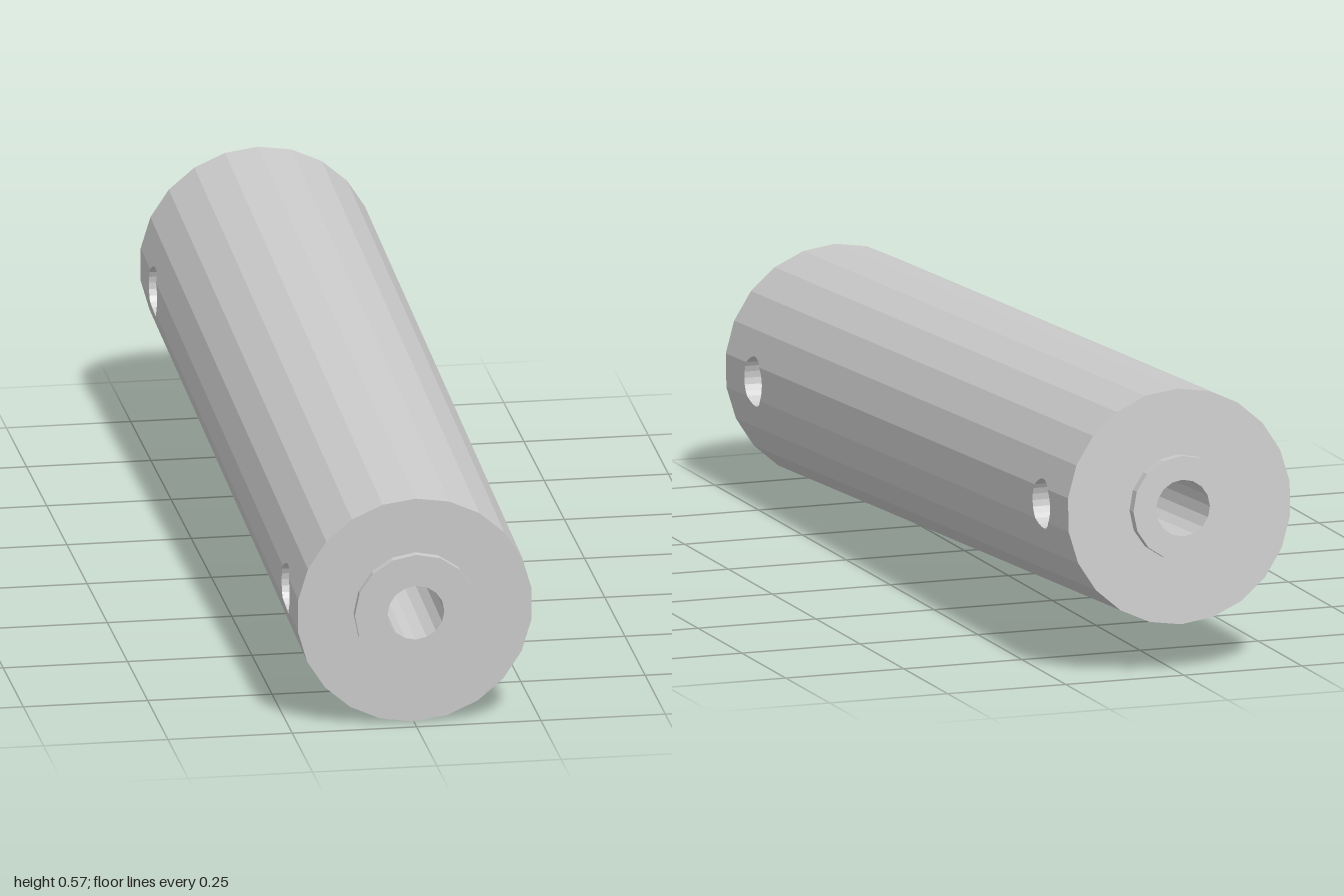
import * as THREE from 'three';

const SIDES = 22, R = 0.237, HALF = 0.9765;   // body
const BORE = 0.057;                           // central bore
const HOLE_R = 0.05, HOLE_Z = 0.8225, HOLE_FLOOR = 0.115;
const HOLE_DIRS = [0, Math.PI, Math.PI * 1.5]; // left, right, underside
const TAU = Math.PI * 2, STEP = TAU / SIDES;

const grey = new THREE.MeshStandardMaterial({ color: 0xcccccc, flatShading: true });
const greyDouble = new THREE.MeshStandardMaterial({ color: 0xcccccc, flatShading: true, side: THREE.DoubleSide });

// Distance from the axis to the many-sided wall at angle a (a corner points up)
function wallRadius(a) {
  const s = (((a - Math.PI / 2) % STEP) + STEP) % STEP;
  return R * Math.cos(STEP / 2) / Math.cos(s - STEP / 2);
}

function ring(radius, sides, hole, holeSides) {
  const pts = (r, n) => Array.from({ length: n }, (_, i) => {
    const a = Math.PI / 2 + i * TAU / n;
    return new THREE.Vector2(r * Math.cos(a), r * Math.sin(a));
  });
  const shape = new THREE.Shape(pts(radius, sides));
  shape.holes.push(new THREE.Path(pts(hole, holeSides)));
  return shape;
}

// Outer wall in lengthwise columns, interrupted by blind round holes
function wallGeometry() {
  let angles = Array.from({ length: SIDES }, (_, i) => Math.PI / 2 + i * STEP);
  for (const d of HOLE_DIRS) {
    for (let k = 0; k <= 12; k++) {
      const t = HOLE_R * Math.cos(k * Math.PI / 12);
      let a = d;
      for (let i = 0; i < 12; i++) a = d + Math.asin(t / wallRadius(a));
      angles.push(a);
    }
  }
  angles = angles.map(a => ((a % TAU) + TAU) % TAU).sort((a, b) => a - b)
    .filter((a, i, all) => i === 0 || a - all[i - 1] > 1e-5);
  angles.push(angles[0] + TAU);

  // Wall point, half-height of the hole there, and matching point on the hole floor
  const edge = a => {
    const r = wallRadius(a), e = { x: r * Math.cos(a), y: r * Math.sin(a), h: 0 };
    for (const d of HOLE_DIRS) {
      const t = r * Math.sin(a - d);
      if (Math.cos(a - d) > 0 && Math.abs(t) < HOLE_R + 1e-5) {
        e.h = Math.sqrt(Math.max(0, HOLE_R ** 2 - t * t));
        e.floor = {
          x: HOLE_FLOOR * Math.cos(d) - t * Math.sin(d),
          y: HOLE_FLOOR * Math.sin(d) + t * Math.cos(d),
        };
      }
    }
    return e;
  };

  const pos = [];
  const P = (p, z) => [p.x, p.y, z];
  const quad = (a, b, c, d) => pos.push(...a, ...b, ...c, ...a, ...c, ...d);
  for (let i = 0; i < angles.length - 1; i++) {
    const p = edge(angles[i]), q = edge(angles[i + 1]);
    const strip = (p0, q0, p1, q1) => quad(P(p, p0), P(q, q0), P(q, q1), P(p, p1));
    strip(-HALF, -HALF, -HOLE_Z - p.h, -HOLE_Z - q.h);
    strip(-HOLE_Z + p.h, -HOLE_Z + q.h, HOLE_Z - p.h, HOLE_Z - q.h);
    strip(HOLE_Z + p.h, HOLE_Z + q.h, HALF, HALF);
    if (!p.floor || !q.floor) continue;
    for (const z of [-HOLE_Z, HOLE_Z]) {
      const f = p.floor, g = q.floor;
      quad(P(f, z + p.h), P(g, z + q.h), P(q, z + q.h), P(p, z + p.h));
      quad(P(p, z - p.h), P(q, z - q.h), P(g, z - q.h), P(f, z - p.h));
      quad(P(f, z - p.h), P(g, z - q.h), P(g, z + q.h), P(f, z + p.h));
    }
  }
  const geo = new THREE.BufferGeometry();
  geo.setAttribute('position', new THREE.Float32BufferAttribute(pos, 3));
  geo.computeVertexNormals();
  return geo;
}

export function createModel() {
  const roller = new THREE.Group();
  roller.name = 'roller';
  const add = (name, geo, mat = grey) => {
    const mesh = new THREE.Mesh(geo, mat);
    mesh.name = name;
    roller.add(mesh);
    return mesh;
  };

  add('bodyWall', wallGeometry());

  // Central bore
  const bore = new THREE.CylinderGeometry(BORE, BORE, HALF * 2, 16, 1, true);
  add('bore', bore.rotateX(Math.PI / 2), greyDouble);

  // End faces and raised collars; the front collar is wider and shallower
  const ends = [
    { name: 'front', turn: 0, radius: 0.123, depth: 0.015 },
    { name: 'back', turn: Math.PI, radius: 0.105, depth: 0.022 },
  ];
  for (const { name, turn, radius, depth } of ends) {
    const face = new THREE.ShapeGeometry(ring(R, SIDES, BORE, 16));
    add(name + 'Face', face.translate(0, 0, HALF).rotateY(turn));
    const collar = new THREE.ExtrudeGeometry(ring(radius, 16, BORE, 16), { depth, bevelEnabled: false });
    add(name + 'Collar', collar.translate(0, 0, HALF).rotateY(turn));
  }

  // The whole roller leans slightly, front end down
  roller.rotation.x = 0.0515;
  roller.position.set(0, 0.287, 0.002);
  const model = new THREE.Group();
  model.name = 'tiltedRoller';
  model.add(roller);
  return model;
}
